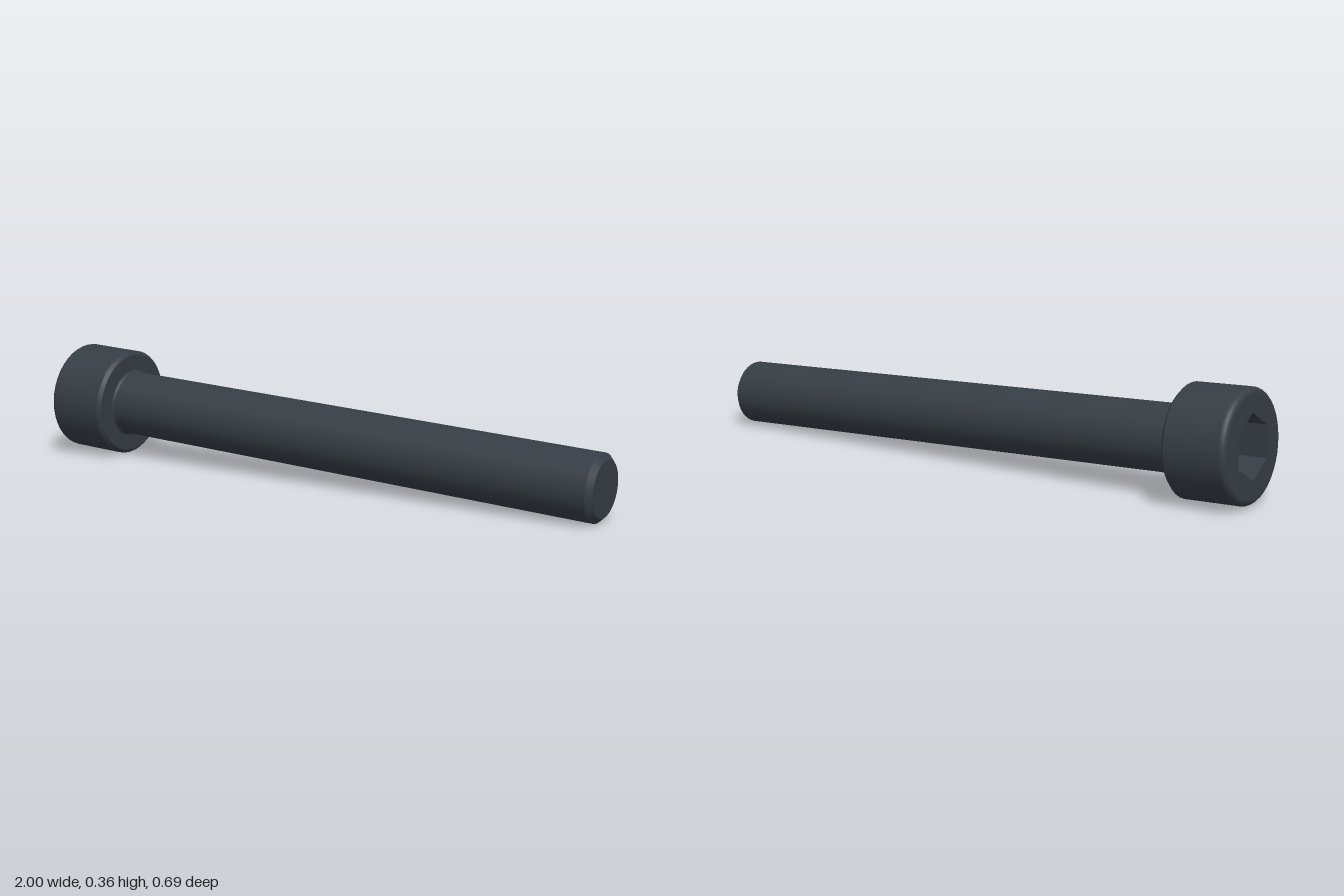
import * as THREE from 'three';

const SEG = 40;
const HEAD_R = 0.178, HEAD_H = 0.213, ROUND = 0.018, BEVEL = 0.011;
const SHAFT_R = 0.1067, FILLET = 0.009, CHAMFER = 0.0178, LENGTH = 1.991;
const HEX_R = 0.1027, HEX_DEPTH = 0.107;

// Points of a quarter arc, for rounded edges in a profile
function arc(cx, cy, r, from, to, n = 5) {
  return Array.from({ length: n + 1 }, (_, i) => {
    const a = from + ((to - from) * i) / n;
    return [cx + r * Math.cos(a), cy + r * Math.sin(a)];
  });
}

export function createModel() {
  const model = new THREE.Group();
  const steel = new THREE.MeshStandardMaterial({ color: 0x363d44 });
  steel.name = 'blackenedSteel';

  const bolt = new THREE.Group();
  bolt.name = 'bolt';
  model.add(bolt);

  const add = (parent, name, geometry) => {
    const mesh = new THREE.Mesh(geometry, steel);
    mesh.name = name;
    parent.add(mesh);
  };
  // One smooth surface of revolution; separate runs keep the edges between them sharp
  const turn = (parent, name, points) =>
    add(parent, name, new THREE.LatheGeometry(points.map(([r, y]) => new THREE.Vector2(r, y)), SEG));

  // Head: axis along y, socket opening at y = 0
  const head = new THREE.Group();
  head.name = 'head';
  bolt.add(head);
  turn(head, 'headRoundedRim', arc(HEAD_R - ROUND, ROUND, ROUND, -Math.PI / 2, 0));
  turn(head, 'headSide', [[HEAD_R, ROUND], [HEAD_R, HEAD_H - BEVEL]]);
  turn(head, 'headBevel', [[HEAD_R, HEAD_H - BEVEL], [HEAD_R - BEVEL, HEAD_H]]);
  turn(head, 'headUnderside', [[HEAD_R - BEVEL, HEAD_H], [SHAFT_R + FILLET, HEAD_H]]);

  // Head face with a hexagonal opening
  const face = new THREE.Shape();
  face.absarc(0, 0, HEAD_R - ROUND, 0, Math.PI * 2);
  const corners = Array.from({ length: 6 }, (_, i) => {
    const a = Math.PI / 2 - (i * Math.PI) / 3;
    return new THREE.Vector2(HEX_R * Math.cos(a), HEX_R * Math.sin(a));
  });
  face.holes.push(new THREE.Path(corners));
  add(head, 'headFace', new THREE.ShapeGeometry(face, SEG).rotateX(Math.PI / 2));

  // Socket walls, mirrored so that they face inward, and floor
  const walls = new THREE.CylinderGeometry(HEX_R, HEX_R, HEX_DEPTH, 6, 1, true)
    .scale(-1, 1, 1).translate(0, HEX_DEPTH / 2, 0).toNonIndexed();
  walls.computeVertexNormals();
  add(head, 'socketWalls', walls);
  add(head, 'socketFloor', new THREE.CircleGeometry(HEX_R, 6, Math.PI / 2)
    .rotateX(Math.PI / 2).translate(0, HEX_DEPTH, 0));

  // Shaft with a small fillet under the head and a chamfered tip
  const shaft = new THREE.Group();
  shaft.name = 'shaft';
  bolt.add(shaft);
  turn(shaft, 'shaftFillet', arc(SHAFT_R + FILLET, HEAD_H + FILLET, FILLET, -Math.PI / 2, -Math.PI, 4));
  turn(shaft, 'shaftSide', [[SHAFT_R, HEAD_H + FILLET], [SHAFT_R, LENGTH - CHAMFER]]);
  turn(shaft, 'tipChamfer', [[SHAFT_R, LENGTH - CHAMFER], [SHAFT_R - CHAMFER, LENGTH]]);
  add(shaft, 'tipFace', new THREE.CircleGeometry(SHAFT_R - CHAMFER, SEG)
    .rotateX(-Math.PI / 2).translate(0, LENGTH, 0));

  // Lay the bolt down along its slanted axis
  const axis = new THREE.Vector3(0.977, -0.04, 0.208).normalize();
  const side = new THREE.Vector3().crossVectors(axis, new THREE.Vector3(0, 1, 0)).normalize();
  const up = new THREE.Vector3().crossVectors(side, axis);
  bolt.quaternion.setFromRotationMatrix(new THREE.Matrix4().makeBasis(side, axis, up));
  bolt.position.set(-0.964, 0.187, -0.172);
  return model;
}
